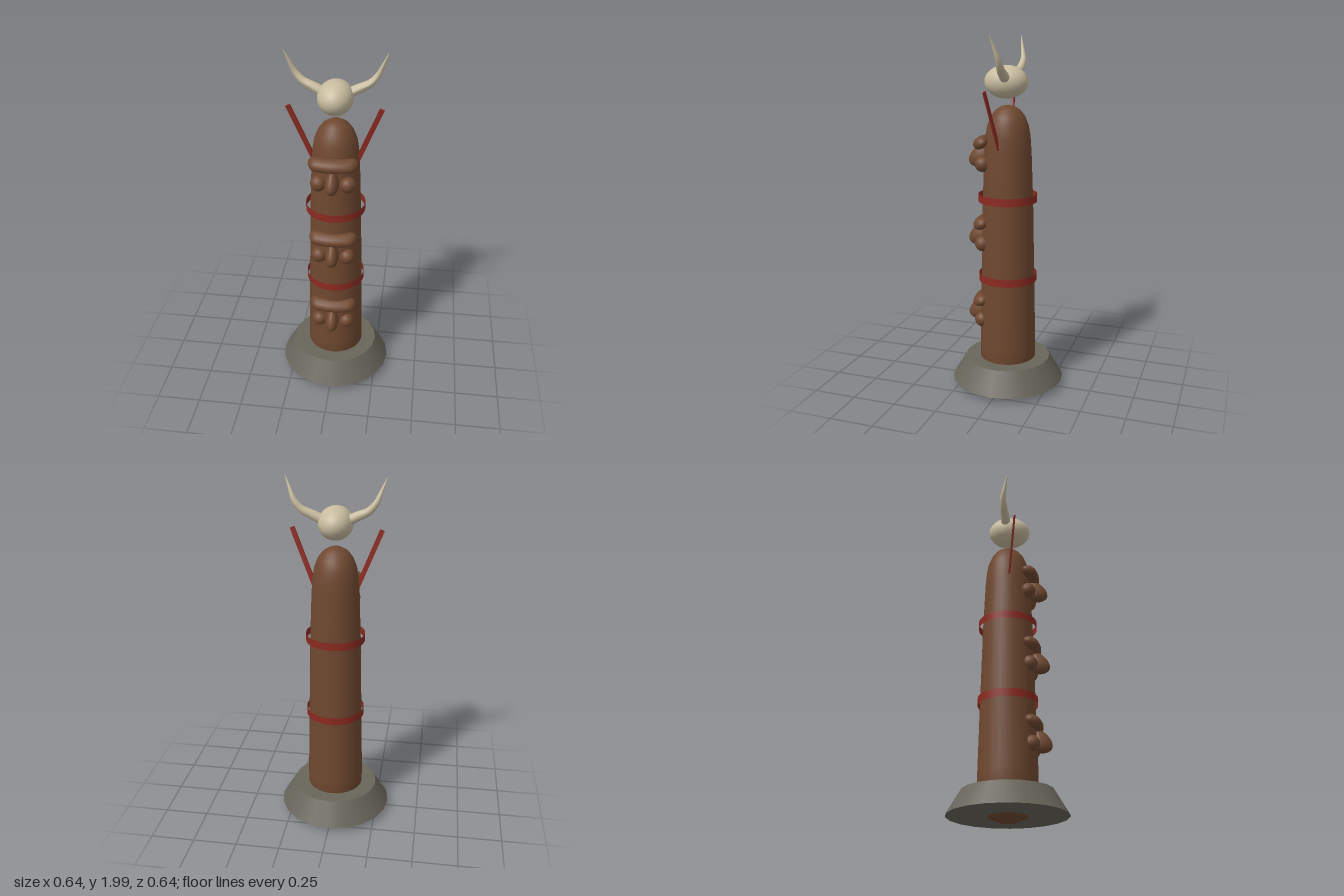
import * as THREE from 'three';

const mat = (name, color, side = THREE.FrontSide) => {
  const m = new THREE.MeshStandardMaterial({ color, side });
  m.name = name;
  return m;
};

export function createModel() {
  const wood = mat('wood', 0x6f4830);
  const red = mat('red paint', 0x8b2a20, THREE.DoubleSide);
  const bone = mat('bone', 0xc8bc9f);
  const stone = mat('stone', 0x68655b);

  const model = new THREE.Group();
  model.name = 'totemPole';
  const add = (parent, name, geometry, material, x = 0, y = 0, z = 0) => {
    const mesh = new THREE.Mesh(geometry, material);
    mesh.name = name;
    mesh.position.set(x, y, z);
    parent.add(mesh);
    return mesh;
  };

  // Stone plinth
  add(model, 'plinth', new THREE.CylinderGeometry(0.245, 0.322, 0.13, 20), stone, 0, 0.105, 0);

  // Tapered pole with rounded ends
  const profile = [
    [0, 0.006], [0.05, 0.012], [0.1, 0.033], [0.14, 0.08], [0.16, 0.15], [0.161, 0.25],
    [0.152, 0.65], [0.142, 1.1], [0.131, 1.38], [0.125, 1.46], [0.115, 1.52],
    [0.095, 1.57], [0.068, 1.605], [0.035, 1.625], [0, 1.632],
  ].map(([r, y]) => new THREE.Vector2(r, y));
  add(model, 'pole', new THREE.LatheGeometry(profile, 28), wood);

  // Brow: a capsule lying across the face and bent around the pole
  const browShape = new THREE.CapsuleGeometry(0.038, 0.19, 6, 14, 10);
  browShape.rotateZ(Math.PI / 2);
  const bp = browShape.attributes.position;
  for (let i = 0; i < bp.count; i++) {
    const x = bp.getX(i);
    bp.setY(i, bp.getY(i) * 0.9 - bp.getZ(i) * 0.2);
    bp.setZ(i, bp.getZ(i) * 1.1 - 1.6 * x * x);
  }
  browShape.computeVertexNormals();

  // Nose: a pear that narrows and recedes towards the brow
  const noseShape = new THREE.SphereGeometry(1, 18, 14);
  const np = noseShape.attributes.position;
  for (let i = 0; i < np.count; i++) {
    const y = np.getY(i);
    const w = 1 - 0.3 * y;
    np.setXYZ(i, np.getX(i) * 0.036 * w, y * 0.066, np.getZ(i) * 0.062 * w - 0.012 * y);
  }
  noseShape.computeVertexNormals();
  const cheekShape = new THREE.SphereGeometry(0.044, 16, 12);

  // Three stacked faces
  [1.428, 0.974, 0.52].forEach((y, i) => {
    const face = new THREE.Group();
    face.name = `face${i + 1}`;
    face.position.set(0, y, i * 0.004);
    model.add(face);
    add(face, 'brow', browShape, wood, 0, 0, 0.143);
    add(face, 'nose', noseShape, wood, 0, -0.083, 0.163);
    for (const s of [1, -1]) {
      add(face, s > 0 ? 'leftCheek' : 'rightCheek', cheekShape, wood, s * 0.079, -0.118, 0.12);
    }
  });

  // Painted hoops
  for (const y of [1.118, 0.658]) {
    add(model, 'hoop', new THREE.CylinderGeometry(0.165, 0.165, 0.044, 32, 1, true), red, 0, y, 0);
  }

  // Skull above the pole
  add(model, 'skull', new THREE.SphereGeometry(1, 32, 20), bone, 0, 1.755, 0.01).scale.set(0.095, 0.09, 0.122);

  for (const s of [1, -1]) {
    const side = s > 0 ? 'left' : 'right';

    // Tapered, bent horn
    const curve = new THREE.CatmullRomCurve3([
      [0.07, 1.775, -0.008], [0.12, 1.8, -0.012], [0.175, 1.828, -0.018],
      [0.213, 1.872, -0.02], [0.24, 1.935, -0.006], [0.266, 2, 0.01],
    ].map(([x, y, z]) => new THREE.Vector3(s * x, y, z)));
    const rings = 20, sides = 12;
    const horn = new THREE.TubeGeometry(curve, rings, 0.028, sides);
    const hp = horn.attributes.position;
    const v = new THREE.Vector3();
    for (let i = 0; i < hp.count; i++) {
      const u = Math.floor(i / (sides + 1)) / rings;
      const centre = curve.getPointAt(u);
      v.fromBufferAttribute(hp, i).sub(centre).multiplyScalar(1 - 0.96 * u ** 1.4).add(centre);
      hp.setXYZ(i, v.x, v.y, v.z);
    }
    horn.computeVertexNormals();
    add(model, `${side}Horn`, horn, bone);

    // Raised slat leaning outwards
    const low = new THREE.Vector3(s * 0.112, 1.39, 0.012);
    const high = new THREE.Vector3(s * 0.243, 1.715, 0.048);
    const slat = add(model, `${side}Slat`, new THREE.BoxGeometry(0.026, low.distanceTo(high), 0.01), red);
    slat.position.copy(low).add(high).multiplyScalar(0.5);
    slat.quaternion.setFromUnitVectors(new THREE.Vector3(0, 1, 0), high.sub(low).normalize());
  }
  return model;
}
